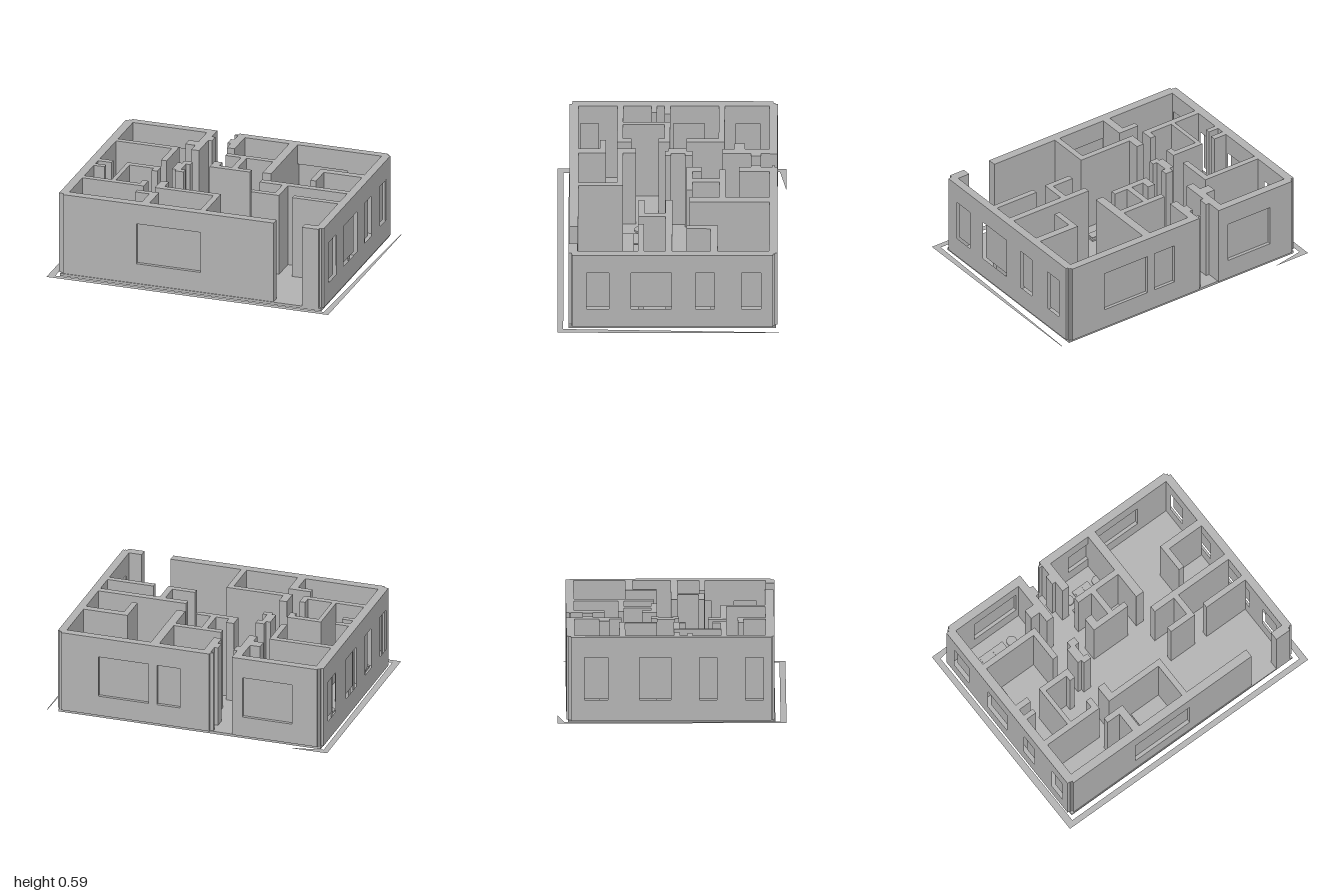
import * as THREE from 'three';

const BASE = 0.018, TOP = 0.59, SILL = 0.16, HEAD = 0.45;

export function createModel() {
  const model = new THREE.Group();
  const grey = new THREE.MeshStandardMaterial({ color: 0xb2b2b2 });
  grey.name = 'plaster grey';
  const greySheet = new THREE.MeshStandardMaterial({ color: 0xb2b2b2, side: THREE.DoubleSide });
  greySheet.name = 'plaster grey sheet';

  const add = (name, geo, parent = model, mat = grey) => {
    const mesh = new THREE.Mesh(geo, mat);
    mesh.name = name;
    parent.add(mesh);
    return mesh;
  };
  const group = (name) => {
    const g = new THREE.Group();
    g.name = name;
    model.add(g);
    return g;
  };
  // Box given by its plan rectangle (in hundredths) and height range
  const block = (name, [x0, z0, x1, z1], y0, y1, parent) => {
    const m = add(name, new THREE.BoxGeometry((x1 - x0) / 100, y1 - y0, (z1 - z0) / 100), parent);
    m.position.set((x0 + x1) / 200, (y0 + y1) / 2, (z0 + z1) / 200);
    return m;
  };
  const rect = (Type, a, b, y0, y1) => {
    const p = new Type();
    p.moveTo(a, y0); p.lineTo(b, y0); p.lineTo(b, y1); p.lineTo(a, y1); p.closePath();
    return p;
  };

  // Floor slab
  block('floor', [-93, -70, 92.5, 69], 0, BASE);

  // Flat border strip around the house, open at the back
  const border = [[-1, -0.77], [-0.73, -0.77], [-0.96, -0.725], [-0.95, 0.725],
    [0.955, 0.725], [0.995, -0.72], [1, -0.72], [1, 0.765], [-1, 0.765]];
  const borderShape = new THREE.Shape(border.map(([x, z]) => new THREE.Vector2(x, -z)));
  const borderMesh = add('border', new THREE.ShapeGeometry(borderShape), model, greySheet);
  borderMesh.rotation.x = -Math.PI / 2;
  borderMesh.position.y = 0.012;

  // Outer walls: holes for the windows, with a thin recessed pane in each
  const outer = group('outerWalls');
  const outerWall = (name, alongZ, from, to, near, far, windows) => {
    const g = new THREE.Group();
    g.name = name;
    outer.add(g);
    const depth = far - near, s = alongZ ? -1 : 1;
    const shape = rect(THREE.Shape, s * from, s * to, BASE, TOP);
    for (const [a, b] of windows) {
      shape.holes.push(rect(THREE.Path, s * a, s * b, SILL, HEAD));
      const pane = add('windowPane', new THREE.BoxGeometry(b - a, HEAD - SILL, 0.009), g);
      pane.position.set(s * (a + b) / 2, (SILL + HEAD) / 2, depth / 2);
    }
    add('wall', new THREE.ExtrudeGeometry(shape, { depth, bevelEnabled: false }), g);
    if (alongZ) {
      g.rotation.y = Math.PI / 2;
      g.position.x = near;
    } else g.position.z = near;
  };
  outerWall('frontWall', false, -0.91, 0.585, 0.625, 0.685, [[-0.39, 0.065]]);
  outerWall('frontWallEnd', false, 0.79, 0.905, 0.63, 0.69, []);
  outerWall('backWallRight', false, -0.91, -0.33, -0.71, -0.655, [[-0.73, -0.38]]);
  outerWall('backWallLeft', false, -0.14, 0.905, -0.71, -0.655, [[0.06, 0.64]]);
  outerWall('leftWall', true, -0.68, 0.665, 0.88, 0.935,
    [[-0.6, -0.47], [-0.29, -0.16], [0, 0.27], [0.42, 0.57]]);
  outerWall('rightWall', true, -0.68, 0.665, -0.945, -0.885,
    [[-0.59, -0.43], [-0.22, -0.01], [0.18, 0.3], [0.49, 0.61]]);

  // Corner posts stepping in from the wall faces
  for (const x of [-92.5, 89.5]) for (const z of [-69.5, 64.5]) {
    block('cornerPost', [x, z, x + 2.5, z + 2.5], BASE, TOP, outer);
  }

  // Inner partitions
  const inner = group('innerWalls');
  const partitions = [
    // back right bedroom
    [-36, -71, -30.5, -34], [-43, -49, -36, -42], [-30.5, -60, -28, -53], [-34, -71, -31.5, -69],
    [-88.5, -35.5, -45, -31.5], [-49, -35.5, -45, -10],
    // back middle bedroom and closet
    [-14.5, -71, -9, -45], [-17, -60, -14.5, -53], [-17, -69, -11, -67.5],
    [-11, -36, 22.5, -32], [0, -36, 4, -10], [-14.5, -20, -9, -10], [-9, -14, 14, -10],
    [22.5, -71, 28.5, -12],
    // left side rooms
    [57, -31, 88.5, -26], [57, -31, 61, -10], [26, -0.5, 88.5, 4], [42, 0, 46, 22],
    [26, 18, 46, 22], [55.5, 18.5, 88.5, 22.5],
    // centre pillar
    [-37, -10, -31, 2], [-34, -14, -28, -9], [-34, 0.5, -28, 4.5],
    // right side closets
    [-88.5, 1, -79, 5], [-88.5, 10, -81, 13.5], [-69, 1, -66, 36], [-69, 1, -45, 5],
    [-49, 1, -45, 9], [-88.5, 32.5, -45, 36.5], [-49, 27, -45, 36.5],
    // front bathrooms
    [-47, 44, -34, 48], [-37, 44, -31.5, 63], [-37, 24, -31.5, 36.5],
    [-37, 32.5, 8.5, 36.5], [4.5, 32.5, 8.5, 63],
  ];
  for (const p of partitions) block('partition', p, BASE, TOP, inner);

  // Low furniture
  const furniture = group('furniture');
  const low = (name, r, h = 0.012, y = BASE) => block(name, r, y, y + h, furniture);
  const disc = (name, x, z, r, h = 0.012, y = BASE) => {
    const m = add(name, new THREE.CylinderGeometry(r / 100, r / 100, h, 32), furniture);
    m.position.set(x / 100, y + h / 2, z / 100);
  };
  const bed = (x0, z0, x1, z1, pillowDepth) => {
    const mid = (x0 + x1) / 2;
    low('bed', [x0, z0, x1, z1]);
    low('pillow', [x0 + 1, z0 + 1.5, mid - 0.7, z0 + 1.5 + pillowDepth], 0.006, BASE + 0.012);
    low('pillow', [mid + 0.7, z0 + 1.5, x1 - 1, z0 + 1.5 + pillowDepth], 0.006, BASE + 0.012);
    disc('roundTable', x0 - 5.3, z0 + 3.5, 3.5);
    disc('roundTable', x1 + 5.3, z0 + 3.5, 3.5);
  };
  bed(-76.5, -57, -56, -43, 5);
  bed(2.5, -57, 15.5, -43, 5);
  bed(-18.5, 18, 9.5, 48.5, 6);
  for (const [x, z] of [[-81.5, -46.5], [-55, -46.5], [-5, -46.5], [13.3, -46.5], [10.5, 44.5]]) {
    low('stool', [x, z, x + 4, z + 4]);
  }
  // Bathroom sets: basin cabinet, cistern and seat
  for (const [x, z] of [[-80, -28], [-24.5, 46]]) {
    low('basinCabinet', [x - 4, z - 3.5, x + 4, z + 3.5]);
    disc('basin', x, z, 3.4, 0.005, BASE + 0.012);
    low('cistern', [x - 3, z + 4.5, x + 3, z + 8.5]);
    disc('toiletSeat', x, z + 13.5, 4);
  }
  low('bathtub', [-83.5, 51, -51.5, 59]);
  disc('bathDrain', -61, 55.5, 3.4, 0.005, BASE + 0.012);

  return model;
}
